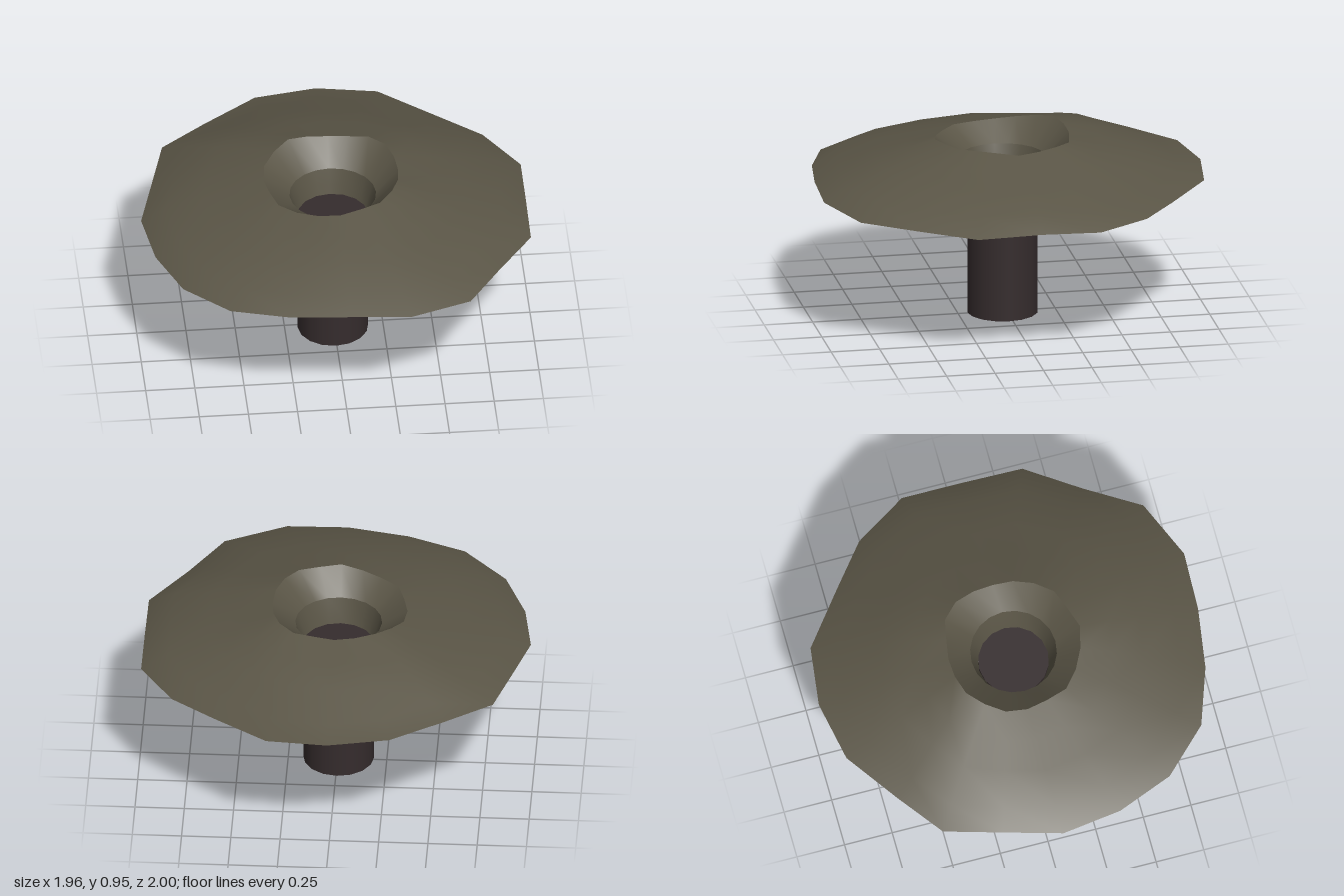
import * as THREE from 'three';

const SIDES = 20;

// Irregular outer edge of the canopy, as [x, z], going round from +x towards +z
const RIM = [
  [0.978, 0], [0.975, 0.33], [0.79, 0.6], [0.62, 0.87], [0.31, 1],
  [0, 0.99], [-0.31, 0.945], [-0.6, 0.845], [-0.82, 0.62], [-0.935, 0.33],
  [-0.98, 0.02], [-0.9, -0.275], [-0.82, -0.57], [-0.59, -0.745], [-0.315, -0.94],
  [0, -1], [0.31, -0.96], [0.59, -0.745], [0.81, -0.57], [0.98, -0.3],
];
// Radius and height of the uneven crest around the funnel
const CREST_R = [0.33, 0.335, 0.345, 0.36, 0.35, 0.37, 0.36, 0.36, 0.37, 0.35,
  0.355, 0.36, 0.35, 0.35, 0.33, 0.32, 0.32, 0.35, 0.35, 0.335];
const CREST_Y = [0.93, 0.945, 0.95, 0.945, 0.94, 0.935, 0.92, 0.91, 0.91, 0.91,
  0.91, 0.92, 0.94, 0.955, 0.945, 0.935, 0.94, 0.945, 0.95, 0.94];

const ring = (fn) => Array.from({ length: SIDES }, (_, i) => fn(i, (i / SIDES) * Math.PI * 2));

// Skin a list of closed rings, ordered from the innermost to the outermost
function loft(rings) {
  const index = [];
  for (let k = 0; k < rings.length - 1; k++) {
    for (let i = 0; i < SIDES; i++) {
      const j = (i + 1) % SIDES;
      const a = k * SIDES + i, b = k * SIDES + j;
      const c = a + SIDES, d = b + SIDES;
      index.push(a, b, c, b, d, c);
    }
  }
  const geo = new THREE.BufferGeometry();
  geo.setAttribute('position', new THREE.Float32BufferAttribute(rings.flat(2), 3));
  geo.setIndex(index);
  geo.computeVertexNormals();
  return geo;
}

export function createModel() {
  const group = new THREE.Group();
  const capMaterial = new THREE.MeshStandardMaterial({ color: 0x5a5546, side: THREE.DoubleSide });
  capMaterial.name = 'olive brown';
  const stemMaterial = new THREE.MeshStandardMaterial({ color: 0x352c2d });
  stemMaterial.name = 'dark plum brown';

  const add = (name, geometry, material) => {
    const mesh = new THREE.Mesh(geometry, material);
    mesh.name = name;
    group.add(mesh);
    return mesh;
  };

  const crest = ring((i, a) => [Math.cos(a) * CREST_R[i], CREST_Y[i], Math.sin(a) * CREST_R[i]]);
  // The rim droops at both front corners and tilts at the back
  const rim = RIM.map(([x, z]) => {
    const droop = z > 0 ? 0.037 * Math.abs(x) * z : -0.028 * x * z;
    return [x, 0.715 + 0.031 * z * z - droop, z];
  });

  // Ring between crest and rim, raised so that the canopy bulges slightly
  const between = (t, bulge) => ring((i, a) => {
    const [p, q] = [crest[i], rim[i]];
    return p.map((v, n) => v + (q[n] - v) * t + (n === 1 ? bulge(a) : 0));
  });
  // Towards the rim the bulge is strongest at the sides and fades at the back
  const outerBulge = (a) => 0.016 + 0.012 * Math.cos(2 * a) + 0.009 * Math.sin(a);
  add('canopy', loft([
    crest, between(0.25, () => 0.01), between(0.5, () => 0.016), between(0.8, outerBulge), rim,
  ]), capMaterial);

  // Funnel sinking steeply from the crest to the neck
  const circle = (r, y) => ring((i, a) => [Math.cos(a) * r - 0.005, y, Math.sin(a) * r + 0.02]);
  const neck = circle(0.22, 0.82);
  add('funnel', loft([neck, crest]), capMaterial);

  // Collar narrowing into the stem along a ragged line
  const ragged = ring((i, a) => {
    const r = 0.175 + 0.004 * Math.cos(a * 5);
    return [Math.cos(a) * r - 0.005, 0.65, Math.sin(a) * r + 0.02];
  });
  add('collar', loft([ragged, circle(0.196, 0.74), neck]), capMaterial);

  // Stem
  const stem = add('stem', new THREE.CylinderGeometry(0.18, 0.18, 0.69, 16), stemMaterial);
  stem.position.set(-0.005, 0.345, 0.02);

  return group;
}
